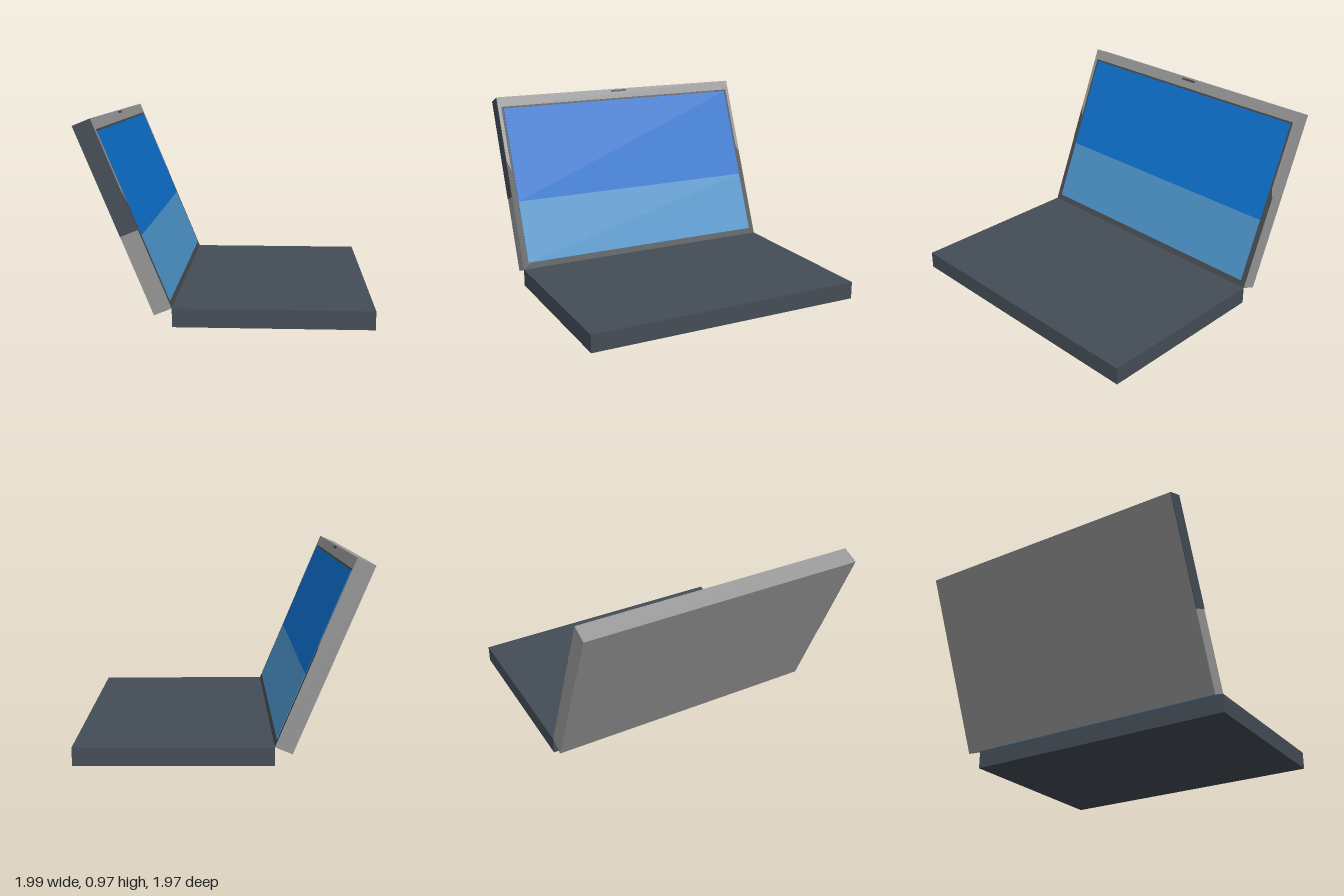
import * as THREE from 'three';

const mat = (name, color, extra = {}) => {
  const m = new THREE.MeshStandardMaterial({ color, ...extra });
  m.name = name;
  return m;
};

export function createModel() {
  const slate = mat('slate', 0x444d56);
  const grey = mat('shell grey', 0x969696);
  const dark = mat('bezel dark', 0x464a4d);
  const blue = mat('screen blue', 0x0d70cc);
  const paleBlue = mat('screen pale blue', 0x4c93c9);

  const W = 1.455, DEPTH = 0.945, LID = 0.952, THICK = 0.09;

  const add = (parent, name, geometry, material, x = 0, y = 0, z = 0) => {
    const mesh = new THREE.Mesh(geometry, material);
    mesh.name = name;
    mesh.position.set(x, y, z);
    parent.add(mesh);
    return mesh;
  };
  // thin plate lying on the lid front, spanning y0..y1
  const plate = (parent, name, width, y0, y1, lift, material) =>
    add(parent, name, new THREE.BoxGeometry(width, y1 - y0, lift), material, 0, (y0 + y1) / 2, lift / 2);

  const model = new THREE.Group();
  model.name = 'laptop';

  // everything is placed from the middle of the hinge edge
  const laptop = new THREE.Group();
  laptop.name = 'laptopBody';
  laptop.position.set(-0.145, 0, -0.21);
  laptop.rotation.y = THREE.MathUtils.degToRad(34.4);
  model.add(laptop);

  // keyboard half
  add(laptop, 'base', new THREE.BoxGeometry(W, THICK, DEPTH), slate, 0, THICK / 2, DEPTH / 2);

  // lid, leaning back from the rear top edge of the base
  const lid = new THREE.Group();
  lid.name = 'lid';
  lid.position.y = THICK;
  lid.rotation.x = THREE.MathUtils.degToRad(-22.4);
  laptop.add(lid);
  add(lid, 'lidShell', new THREE.BoxGeometry(W, LID, THICK),
    [grey, grey, grey, paleBlue, dark, grey], 0, LID / 2, -THICK / 2);

  // dark upper part of the right side
  add(lid, 'sidePanel', new THREE.BoxGeometry(0.002, LID - 0.4, THICK), slate,
    -W / 2 - 0.001, (LID + 0.4) / 2, -THICK / 2);

  // grey upper bezel: an upside-down U around the screen
  const h = W / 2, inner = 0.71, low = 0.54, top = 0.897;
  const bezel = new THREE.Shape([
    [-h, low + 0.06], [-inner, low], [-inner, top], [inner, top],
    [inner, low], [h, low - 0.04], [h, LID], [-h, LID],
  ].map(([x, y]) => new THREE.Vector2(x, y)));
  add(lid, 'upperBezel', new THREE.ExtrudeGeometry(bezel, { depth: 0.002, bevelEnabled: false }), grey);

  // two-tone display and camera slot
  plate(lid, 'screenLower', 1.395, 0.032, 0.368, 0.003, paleBlue);
  plate(lid, 'screenUpper', 1.395, 0.368, 0.887, 0.003, blue);
  plate(lid, 'cameraSlot', 0.09, 0.935, 0.946, 0.004, dark);

  return model;
}
